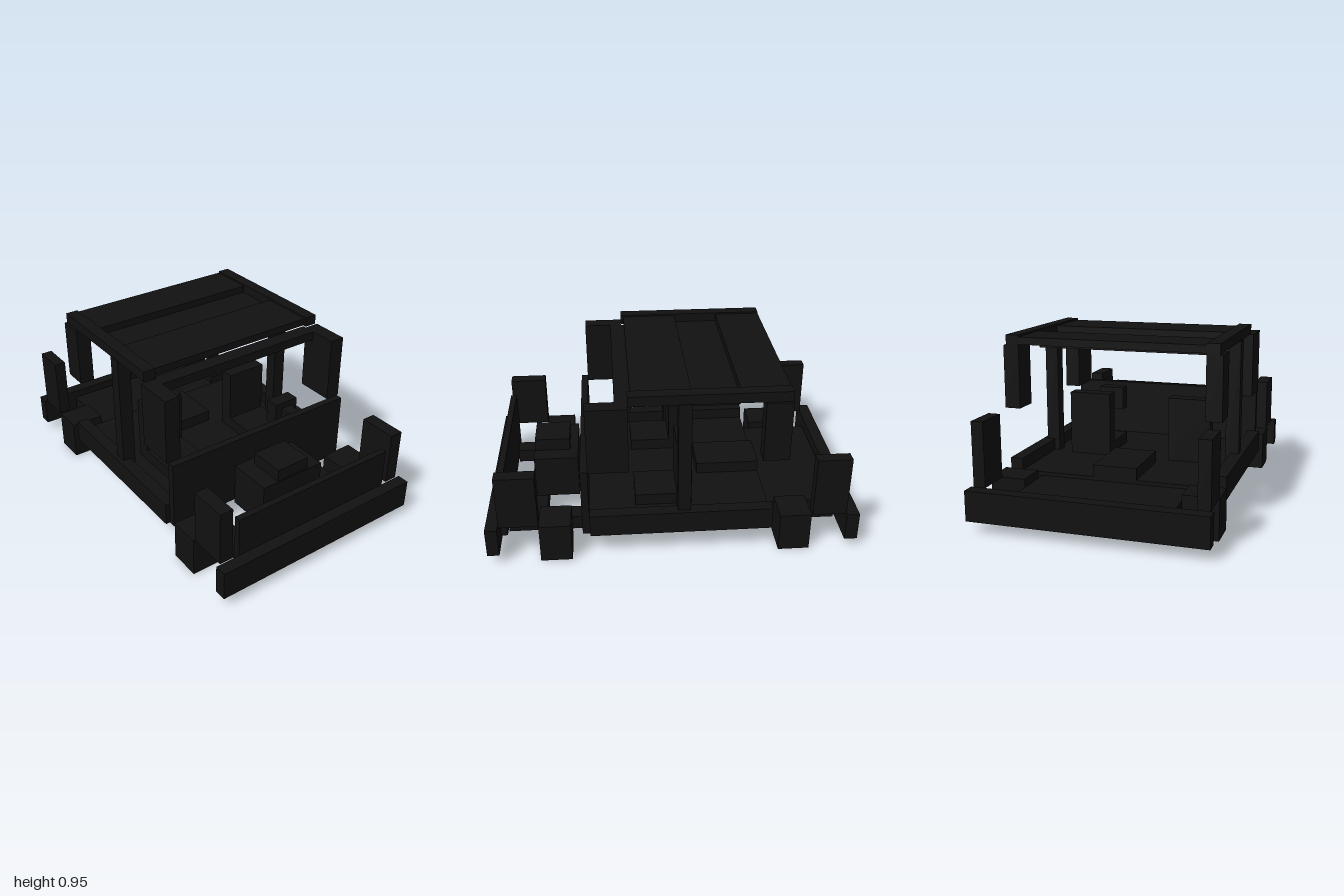
import * as THREE from 'three';

export function createModel() {
  const model = new THREE.Group();
  model.name = 'openUtilityVehicle';
  const black = new THREE.MeshStandardMaterial({ color: 0x111111 });
  black.name = 'black';

  // Box from its limits on each axis
  function box(name, x0, x1, y0, y1, z0, z1) {
    const mesh = new THREE.Mesh(new THREE.BoxGeometry(x1 - x0, y1 - y0, z1 - z0), black);
    mesh.position.set((x0 + x1) / 2, (y0 + y1) / 2, (z0 + z1) / 2);
    mesh.name = name;
    model.add(mesh);
  }
  // Box spanning the centre line
  const wide = (name, x, ...rest) => box(name, -x, x, ...rest);
  // Matching boxes on both sides
  function pair(name, x0, x1, ...rest) {
    box(name + 'Left', x0, x1, ...rest);
    box(name + 'Right', -x1, -x0, ...rest);
  }

  // Chassis
  pair('chassisRail', 0.315, 0.415, 0.06, 0.14, -0.92, 0.9);
  wide('frontCrossMember', 0.315, 0.06, 0.14, 0.69, 0.79);
  wide('rearCrossMember', 0.315, 0.06, 0.14, -0.72, -0.62);
  wide('floor', 0.6, 0.14, 0.2, -0.53, 0.45);
  pair('sill', 0.53, 0.6, 0.14, 0.265, -0.53, 0.45);
  wide('rearDeck', 0.415, 0.14, 0.18, -0.92, -0.53);

  // Bumpers and grille
  wide('frontBumper', 0.625, 0.06, 0.22, 0.935, 1);
  wide('rearBumper', 0.625, 0.06, 0.22, -1, -0.93);
  wide('grille', 0.49, 0.09, 0.44, 0.9, 0.935);

  // Wheels and corner posts
  pair('frontWheel', 0.42, 0.61, 0, 0.22, 0.55, 0.72);
  pair('rearWheel', 0.42, 0.61, 0, 0.22, -0.74, -0.57);
  pair('frontCornerPost', 0.525, 0.6, 0.22, 0.52, 0.72, 0.93);
  pair('rearCornerPost', 0.545, 0.61, 0.22, 0.56, -0.93, -0.745);

  // Engine
  wide('engineBlock', 0.195, 0.14, 0.385, 0.51, 0.755);
  wide('engineTop', 0.1, 0.385, 0.455, 0.555, 0.75);

  // Cabin
  wide('bulkhead', 0.575, 0.14, 0.525, 0.45, 0.49);
  pair('seatBack', 0.175, 0.415, 0.2, 0.56, -0.11, -0.03);
  pair('seatCushion', 0.175, 0.415, 0.2, 0.265, -0.03, 0.2);
  wide('rearBench', 0.12, 0.2, 0.265, -0.53, -0.17);
  box('steeringColumn', 0.26, 0.33, 0.425, 0.49, 0.3, 0.41);
  box('steeringWheel', 0.22, 0.37, 0.39, 0.525, 0.26, 0.34);

  // Pillars and roof
  pair('frontPillar', 0.5, 0.585, 0.525, 0.89, 0.235, 0.45);
  pair('middlePillar', 0.5, 0.575, 0.2, 0.9, -0.09, -0.02);
  pair('rearPillar', 0.5, 0.585, 0.56, 0.895, -0.6, -0.46);
  pair('roofRail', 0.5, 0.57, 0.895, 0.95, -0.6, 0.235);
  wide('windscreenHeader', 0.5, 0.84, 0.89, 0.215, 0.3);
  wide('frontRoofPanel', 0.5, 0.9, 0.94, -0.09, 0.22);
  wide('middleRoofPanel', 0.5, 0.85, 0.9, -0.34, -0.09);
  wide('rearRoofPanel', 0.5, 0.9, 0.94, -0.6, -0.34);

  return model;
}
